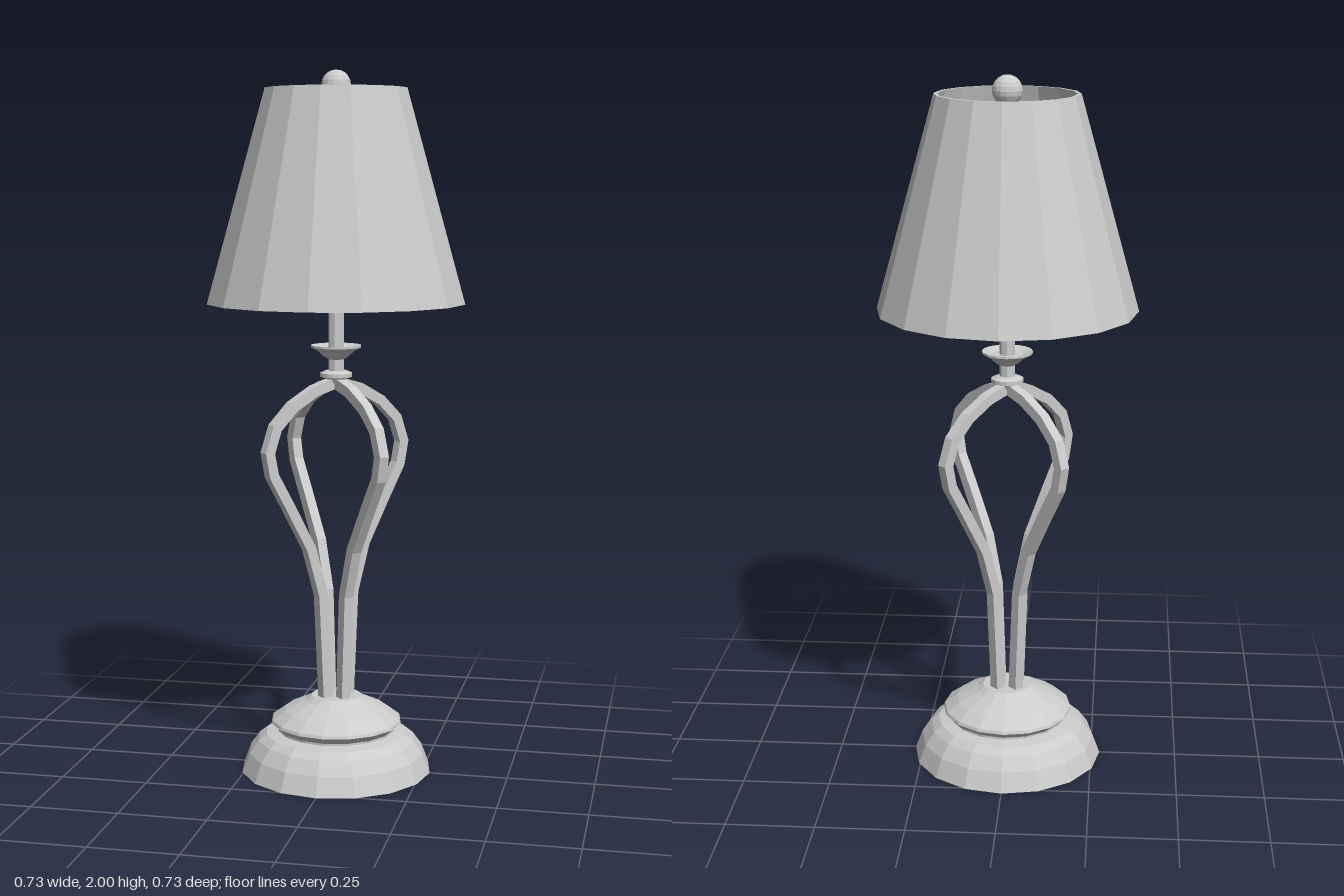
import * as THREE from 'three';

const material = new THREE.MeshStandardMaterial({ color: 0xcccccc, flatShading: true });

export function createModel() {
  const lamp = new THREE.Group();
  lamp.name = 'tableLamp';

  const add = (name, geometry, y = 0) => {
    const mesh = new THREE.Mesh(geometry, material);
    mesh.name = name;
    mesh.position.y = y;
    lamp.add(mesh);
    return mesh;
  };
  // Turned part from [radius, height] pairs, listed bottom to top
  const lathe = (name, profile, sides = 16) =>
    add(name, new THREE.LatheGeometry(profile.map(([r, y]) => new THREE.Vector2(r, y)), sides));

  // Stepped base
  lathe('base', [
    [0, 0], [0.276, 0], [0.255, 0.055], [0.228, 0.092], [0.205, 0.11], [0.168, 0.116],
    [0.168, 0.122], [0.19, 0.142], [0.187, 0.15], [0.15, 0.177], [0.09, 0.205], [0.072, 0.218], [0, 0.218],
  ]);

  // Four bowed legs: a square bar swept along a curve in a vertical plane
  const half = 0.015;
  const path = [
    [0.037, 0.21], [0.052, 0.52], [0.092, 0.66], [0.163, 0.79], [0.214, 0.88], [0.227, 0.945],
    [0.203, 1.015], [0.147, 1.07], [0.075, 1.11], [0, 1.132],
  ].map(([x, y]) => new THREE.Vector2(x, y));
  const side = (sign) => path.map((p, i) => {
    const a = path[Math.max(i - 1, 0)];
    const b = path[Math.min(i + 1, path.length - 1)];
    const t = b.clone().sub(a).normalize();
    return new THREE.Vector2(p.x + sign * half * t.y, p.y - sign * half * t.x);
  });
  const legShape = new THREE.Shape([...side(1), ...side(-1).reverse()]);
  const legGeometry = new THREE.ExtrudeGeometry(legShape, { depth: 2 * half, bevelEnabled: false });
  legGeometry.translate(0, 0, -half);
  for (let i = 0; i < 4; i++) {
    add('leg' + (i + 1), legGeometry).rotation.y = Math.PI / 4 + (i * Math.PI) / 2;
  }

  // Collar, neck and drip cup above the legs
  lathe('collar', [
    [0, 1.125], [0.022, 1.128], [0.03, 1.142], [0.046, 1.146], [0.046, 1.157], [0.03, 1.164], [0, 1.164],
  ]);
  lathe('dripCup', [
    [0, 1.19], [0.022, 1.196], [0.034, 1.203], [0.05, 1.218], [0.072, 1.23], [0.072, 1.236], [0.045, 1.226], [0, 1.226],
  ]);

  // Rod running up to the finial
  add('rod', new THREE.CylinderGeometry(0.022, 0.022, 0.78, 8), 1.54);
  add('finial', new THREE.SphereGeometry(0.042, 16, 10), 1.958);

  // Cross arms holding the shade
  for (let i = 0; i < 2; i++) {
    add('shadeArm' + (i + 1), new THREE.BoxGeometry(0.39, 0.012, 0.013), 1.9).rotation.y = (i * Math.PI) / 2;
  }

  // Hollow tapered shade with a thin wall
  lathe('shade', [[0.356, 1.355], [0.366, 1.355], [0.2, 1.95], [0.19, 1.95], [0.356, 1.355]]);

  return lamp;
}
